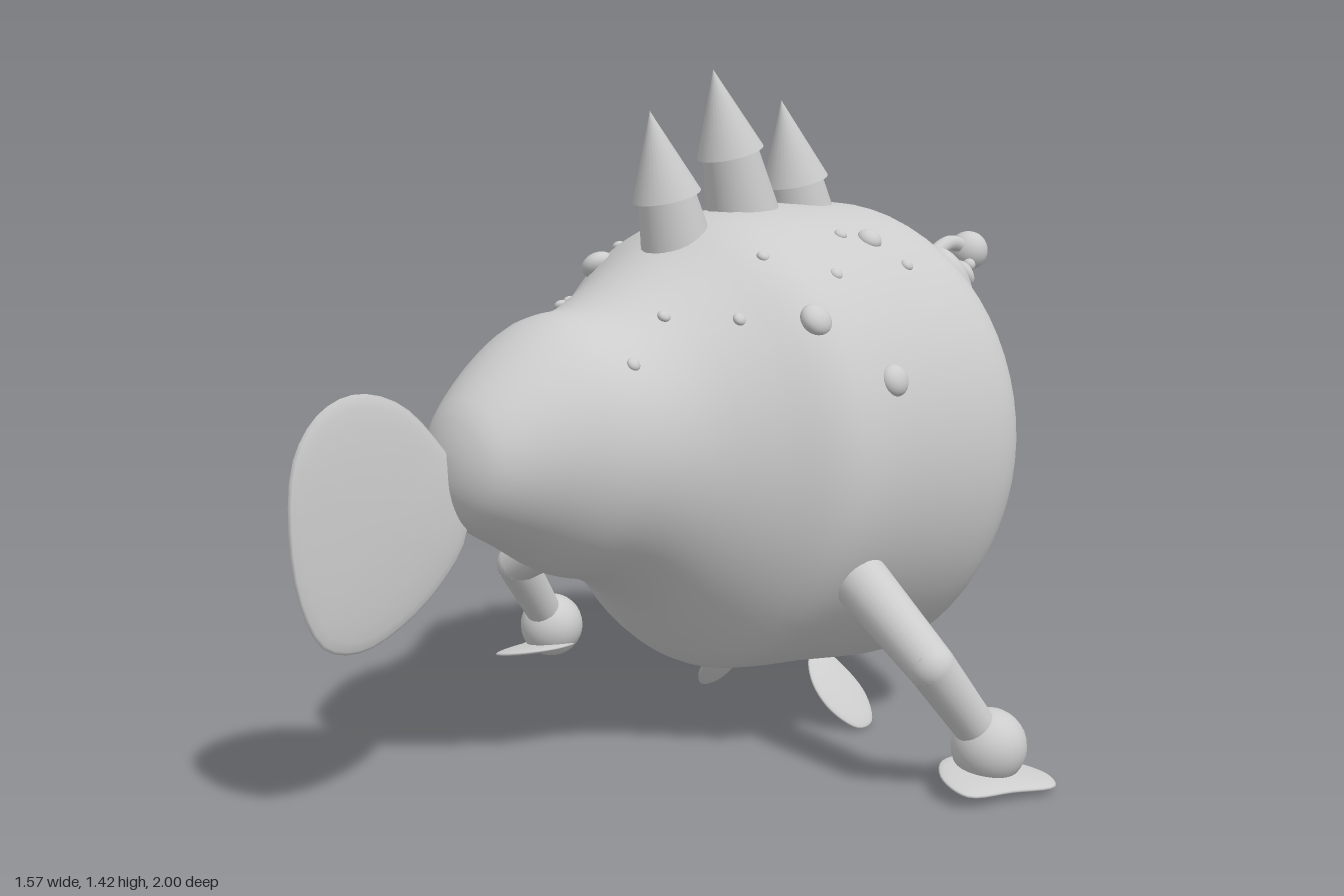
import * as THREE from 'three';
import { mergeVertices } from 'three/addons/utils/BufferGeometryUtils.js';

const V = (x, y, z) => new THREE.Vector3(x, y, z);
const UP = V(0, 1, 0);

// Body sections: z, top y, bottom y, half width
const SECTIONS = [
  [0.648, 0.69, 0.63, 0.03], [0.635, 0.74, 0.59, 0.075], [0.6, 0.80, 0.545, 0.125], [0.5, 0.885, 0.485, 0.19],
  [0.4, 0.94, 0.425, 0.24], [0.3, 0.955, 0.395, 0.262], [0.2, 1.0, 0.335, 0.295], [0.1, 1.055, 0.24, 0.37],
  [0.02, 1.1, 0.17, 0.445], [-0.06, 1.125, 0.15, 0.478], [-0.2, 1.14, 0.135, 0.48], [-0.35, 1.14, 0.115, 0.48],
  [-0.45, 1.137, 0.108, 0.48], [-0.5, 1.125, 0.14, 0.476], [-0.54, 1.095, 0.195, 0.455], [-0.6, 1.005, 0.285, 0.38],
  [-0.66, 0.905, 0.38, 0.295], [-0.71, 0.81, 0.465, 0.2], [-0.733, 0.74, 0.545, 0.11], [-0.738, 0.68, 0.61, 0.04],
];

// Interpolated section at any z
function sectionAt(z) {
  let i = 0;
  while (i < SECTIONS.length - 2 && SECTIONS[i + 1][0] > z) i++;
  const a = SECTIONS[i], b = SECTIONS[i + 1];
  const t = (a[0] - z) / (a[0] - b[0]);
  const [top, bottom, rx] = [1, 2, 3].map(k => a[k] + (b[k] - a[k]) * t);
  return { cy: (top + bottom) / 2, ry: (top - bottom) / 2, rx };
}

function bodyGeometry() {
  const heights = new THREE.CatmullRomCurve3(SECTIONS.map(s => V(s[0], s[1], s[2])), false, 'catmullrom', 0.5);
  const widths = new THREE.CatmullRomCurve3(SECTIONS.map(s => V(s[0], s[3], 0)), false, 'catmullrom', 0.5);
  const rows = (SECTIONS.length - 1) * 3, n = 64, pos = [], idx = [];
  for (let i = 0; i <= rows; i++) {
    const h = heights.getPoint(i / rows), w = widths.getPoint(i / rows).y;
    for (let j = 0; j < n; j++) {
      const a = j / n * Math.PI * 2;
      pos.push(w * Math.cos(a), (h.y + h.z) / 2 + (h.y - h.z) / 2 * Math.sin(a), h.x);
    }
  }
  for (let i = 0; i < rows; i++) for (let j = 0; j < n; j++) {
    const k = (j + 1) % n, a = i * n + j, b = i * n + k;
    idx.push(a, a + n, b, b, a + n, b + n);
  }
  // Closed ends
  const first = pos.length / 3, last = rows * n;
  pos.push(0, 0.66, 0.649, 0, 0.645, -0.739);
  for (let j = 0; j < n; j++) {
    const k = (j + 1) % n;
    idx.push(first, j, k, first + 1, last + k, last + j);
  }
  const g = new THREE.BufferGeometry();
  g.setAttribute('position', new THREE.Float32BufferAttribute(pos, 3));
  g.setIndex(idx);
  g.computeVertexNormals();
  return g;
}

// Lens-shaped fin: a sphere stretched to a counter-clockwise outline in xy
function finGeometry(outline, thickness) {
  const curve = new THREE.CatmullRomCurve3(outline.map(([x, y]) => V(x, y, 0)), true);
  const c = outline.reduce((s, [x, y]) => s.add(V(x, y, 0)), V(0, 0, 0)).divideScalar(outline.length);
  let g = new THREE.SphereGeometry(1, 40, 14).rotateX(Math.PI / 2);
  const p = g.attributes.position;
  for (let i = 0; i < p.count; i++) {
    const x = p.getX(i), y = p.getY(i), r = Math.hypot(x, y);
    const u = (Math.atan2(y, x) / (Math.PI * 2) + 1) % 1;
    const q = curve.getPoint(u).sub(c).multiplyScalar(r).add(c);
    p.setXYZ(i, q.x, q.y, p.getZ(i) * thickness);
  }
  g.deleteAttribute('uv');
  g.deleteAttribute('normal');
  g = mergeVertices(g, 1e-5);
  g.computeVertexNormals();
  return g;
}

export function createModel() {
  const root = new THREE.Group();
  root.name = 'walkingFish';
  const skin = new THREE.MeshStandardMaterial({ color: 0xcccccc });
  skin.name = 'paleGrey';

  const add = (name, geometry, parent = root) => {
    const m = new THREE.Mesh(geometry, skin);
    m.name = name;
    parent.add(m);
    return m;
  };
  const ball = (name, r, at, parent) => {
    const m = add(name, new THREE.SphereGeometry(r, 24, 16), parent);
    m.position.copy(at);
    return m;
  };
  const limb = (name, a, b, ra, rb, parent) => {
    const d = b.clone().sub(a);
    const m = add(name, new THREE.CylinderGeometry(rb, ra, d.length(), 24), parent);
    m.position.copy(a).addScaledVector(d, 0.5);
    m.quaternion.setFromUnitVectors(UP, d.normalize());
  };

  add('body', bodyGeometry());

  // Tail fin, outline in z and y
  add('tailFin', finGeometry([[1.0, 0.6], [0.985, 0.73], [0.93, 0.805], [0.85, 0.833], [0.75, 0.805], [0.66, 0.72],
    [0.6, 0.63], [0.6, 0.53], [0.66, 0.45], [0.75, 0.385], [0.85, 0.35], [0.93, 0.37], [0.98, 0.46]], 0.019)
    .rotateY(-Math.PI / 2));

  // Back spikes: a tapered stump under an overhanging cone
  [[0.03, 1.05, 0.11, 1.34], [-0.165, 1.12, -0.073, 1.425], [-0.36, 1.08, -0.283, 1.362]].forEach(([z, y, tz, ty]) => {
    const g = new THREE.Group(), d = V(0, ty - y, tz - z), len = d.length();
    g.name = 'backSpike';
    g.position.set(0, y, z);
    g.quaternion.setFromUnitVectors(UP, d.normalize());
    root.add(g);
    const h = len - 0.18;
    add('spikeStump', new THREE.CylinderGeometry(0.06, 0.085, h + 0.05, 28), g).position.y = (h - 0.05) / 2;
    add('spikeTip', new THREE.ConeGeometry(0.072, 0.18, 28), g).position.y = h + 0.09;
  });

  // Lure
  const stalk = new THREE.CatmullRomCurve3([V(0, 0.79, -0.69), V(0, 0.83, -0.718), V(0, 0.93, -0.755),
    V(0, 1.0, -0.82), V(0, 1.025, -0.88), V(0, 1.01, -0.94)]);
  add('lureStalk', new THREE.TubeGeometry(stalk, 32, 0.018, 14));
  ball('lureBall', 0.047, V(0, 1.003, -0.953));

  // Mouth: an oval rim facing forward and down
  const mouth = new THREE.Group();
  mouth.name = 'mouth';
  mouth.position.set(0, 0.575, -0.76);
  mouth.quaternion.setFromUnitVectors(V(0, 0, 1), V(0, -0.55, -0.83).normalize());
  root.add(mouth);
  const rim = new THREE.Shape().absellipse(0, 0, 0.215, 0.088, 0, Math.PI * 2);
  rim.holes.push(new THREE.Path().absellipse(0, 0, 0.185, 0.064, 0, Math.PI * 2, true));
  add('mouthRim', new THREE.ExtrudeGeometry(rim, { depth: 0.085, curveSegments: 40, bevelThickness: 0.006,
    bevelSize: 0.005, bevelSegments: 2 }), mouth).position.z = -0.035;
  const throat = add('throat', new THREE.SphereGeometry(1, 32, 16), mouth);
  throat.scale.set(0.195, 0.072, 0.03);
  throat.position.z = -0.015;
  // The group is turned over, so both rows are spread around the oval
  for (let i = 0; i < 12; i++) {
    const upper = i < 6 ? 1 : -1, x = -0.125 + (i % 6) * 0.05;
    const y = upper * 0.062 * Math.sqrt(1 - (x / 0.185) ** 2);
    const tooth = add('tooth', new THREE.ConeGeometry(0.011, 0.03, 8), mouth);
    tooth.position.set(x, y - upper * 0.01, 0.035);
    tooth.rotation.z = upper > 0 ? Math.PI : 0;
  }

  for (const s of [1, -1]) {
    const side = s > 0 ? 'left' : 'right';

    // Eye with pupil and glint, looking outward along its own z
    const eye = new THREE.Group();
    eye.name = side + 'Eye';
    eye.position.set(s * 0.22, 0.965, -0.595);
    eye.lookAt(eye.position.clone().add(V(s * 0.4, 0.45, -0.8)));
    root.add(eye);
    add('eyeball', new THREE.SphereGeometry(1, 28, 18), eye).scale.set(0.066, 0.082, 0.042);
    const pupil = ball('pupil', 0.032, V(-s * 0.012, 0.0, 0.035), eye);
    pupil.scale.z = 0.6;
    ball('glint', 0.014, V(-s * 0.014, 0.012, 0.055), eye);

    // Leg
    const leg = new THREE.Group();
    leg.name = side + 'Leg';
    root.add(leg);
    const hip = V(s * 0.39, 0.41, -0.09), knee = V(s * 0.627, 0.272, -0.045), ankle = V(s * 0.665, 0.09, -0.185);
    limb('upperLeg', hip, knee, 0.06, 0.048, leg);
    ball('knee', 0.048, knee, leg);
    limb('lowerLeg', knee, ankle, 0.048, 0.04, leg);
    ball('ankle', 0.076, ankle, leg);

    // Webbed foot, outline in x and -z, sloping down outward
    const foot = [[0.6, 0.13], [0.66, 0.06], [0.73, 0.05], [0.765, 0.15], [0.795, 0.25], [0.755, 0.28], [0.68, 0.26], [0.61, 0.2]];
    const mirror = pts => s > 0 ? pts : pts.map(([x, y]) => [-x, y]).reverse();
    const footMesh = add('foot', finGeometry(mirror(foot), 0.012).rotateX(-Math.PI / 2), leg);
    footMesh.rotation.z = -s * 0.18;
    footMesh.position.y = 0.16;

    // Belly fin, outline in z and distance along the fin
    const fin = [[0.03, 0.0], [0.06, -0.06], [0.05, -0.13], [0.0, -0.185], [-0.05, -0.18], [-0.075, -0.12], [-0.06, -0.05], [-0.02, 0.01]];
    const belly = add(side + 'BellyFin', finGeometry(fin.slice().reverse(), 0.011).rotateY(-Math.PI / 2));
    belly.position.set(s * 0.12, 0.148, -0.285);
    belly.rotation.z = s * 0.7;
  }

  // Warts on the skin: x, z, radius
  [[0.24, -0.3, 0.027], [0.45, -0.135, 0.033], [0.355, -0.005, 0.035], [-0.46, -0.35, 0.038], [-0.37, -0.43, 0.027],
    [-0.31, -0.23, 0.034], [-0.447, -0.075, 0.038], [-0.215, 0.06, 0.037], [-0.28, 0.21, 0.03], [-0.35, 0.14, 0.026],
    ...[1, -1].flatMap(s => [[0.31, -0.34], [0.22, -0.23], [0.31, -0.115], [0.215, 0], [0.255, 0.11],
      [0.155, 0.22], [0.19, 0.335]].map(([x, z]) => [s * x, z, 0.014])),
  ].forEach(([x, z, r]) => {
    const { cy, ry, rx } = sectionAt(z);
    const y = cy + ry * Math.sqrt(Math.max(0.02, 1 - (x / rx) ** 2));
    const wart = ball('wart', r, V(x, y, z));
    wart.scale.z = 0.7;
    wart.lookAt(V(x + x / rx ** 2, y + (y - cy) / ry ** 2, z));
  });

  return root;
}
